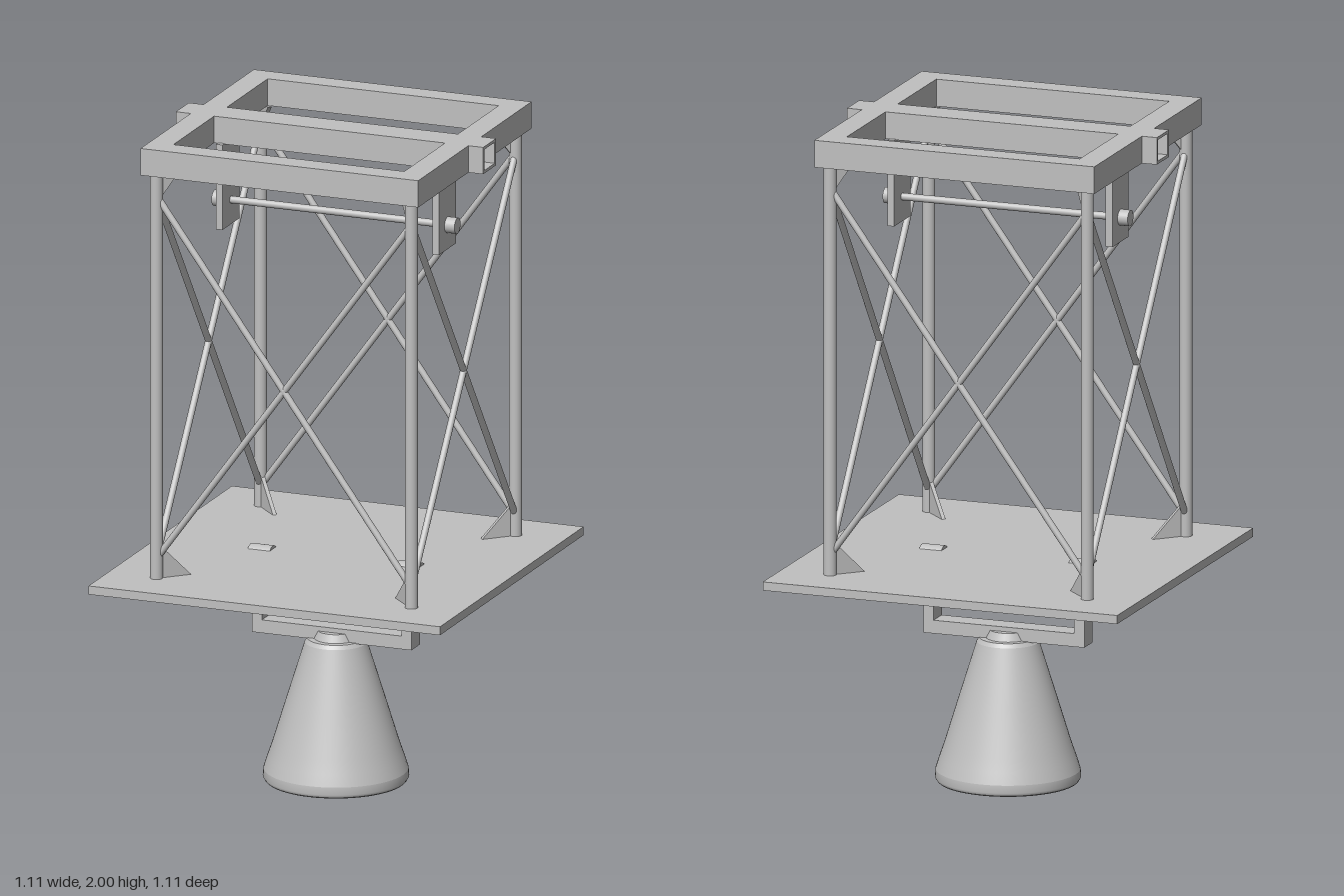
import * as THREE from 'three';

export function createModel() {
  const root = new THREE.Group();
  const steel = new THREE.MeshStandardMaterial({ color: 0xc0c0c0 });
  steel.name = 'steelGrey';

  const add = (name, geometry, x = 0, y = 0, z = 0) => {
    const mesh = new THREE.Mesh(geometry, steel);
    mesh.name = name;
    mesh.position.set(x, y, z);
    root.add(mesh);
    return mesh;
  };
  const box = (name, w, h, d, x, y, z) => add(name, new THREE.BoxGeometry(w, h, d), x, y, z);

  // round bar between two points
  const bar = (name, a, b, r, sides = 24) => {
    const from = new THREE.Vector3(...a), to = new THREE.Vector3(...b);
    const dir = to.clone().sub(from);
    const mesh = add(name, new THREE.CylinderGeometry(r, r, dir.length(), sides));
    mesh.position.copy(from).add(to).multiplyScalar(0.5);
    mesh.quaternion.setFromUnitVectors(new THREE.Vector3(0, 1, 0), dir.normalize());
    return mesh;
  };

  // square ring extruded along z
  const squareRing = (outer, inner, depth) => {
    const square = (s, Type) => {
      const p = new Type();
      p.moveTo(-s, -s);
      p.lineTo(s, -s);
      p.lineTo(s, s);
      p.lineTo(-s, s);
      p.closePath();
      return p;
    };
    const shape = square(outer, THREE.Shape);
    shape.holes.push(square(inner, THREE.Path));
    return new THREE.ExtrudeGeometry(shape, { depth, bevelEnabled: false }).translate(0, 0, -depth / 2);
  };

  const plateTop = 0.68, frameBottom = 1.918, postAt = 0.404;

  // base plate, top frame and hollow cross beam
  box('basePlate', 1.114, 0.026, 1.114, 0, 0.667, 0);
  add('topFrame', squareRing(0.44, 0.366, 0.082).rotateX(Math.PI / 2), 0, 1.959, 0);
  const beam = squareRing(0.05, 0.039, 0.974).rotateY(Math.PI / 2).scale(1, 0.82, 1);
  add('crossBeam', beam, 0, 1.959, 0);

  // corner posts with diagonal gussets at both ends
  const gusset = (width, height) => {
    const s = new THREE.Shape();
    s.moveTo(0, 0);
    s.lineTo(width, 0);
    s.lineTo(0, height);
    s.closePath();
    return new THREE.ExtrudeGeometry(s, { depth: 0.012, bevelEnabled: false }).translate(0, 0, -0.006);
  };
  for (const sx of [-1, 1]) {
    for (const sz of [-1, 1]) {
      const x = sx * postAt, z = sz * postAt;
      bar('post', [x, plateTop, z], [x, frameBottom, z], 0.019);
      const turn = Math.atan2(sz, -sx);
      add('lowerGusset', gusset(0.108, 0.11), x, plateTop, z).rotation.y = turn;
      const upper = gusset(0.07, 0.09).rotateX(Math.PI);
      add('upperGusset', upper, x, frameBottom, z).rotation.y = turn;
    }
  }

  // crossed braces on all four sides
  for (const s of [-1, 1]) {
    for (const d of [-1, 1]) {
      const e = 0.4 * d, p = postAt * s;
      bar('sideBrace', [p, 0.745, -e], [p, 1.845, e], 0.01, 16);
      bar('faceBrace', [-e, 0.745, p], [e, 1.845, p], 0.01, 16);
    }
  }

  // hanger plates, axle and end knobs
  bar('axle', [-0.36, 1.735, 0], [0.36, 1.735, 0], 0.011);
  for (const s of [-1, 1]) {
    box('hangerPlate', 0.021, 0.26, 0.134, s * 0.343, 1.79, 0);
    bar('axleKnob', [s * 0.35, 1.735, 0], [s * 0.385, 1.735, 0], 0.024);
  }

  // yoke with pivots through the base plate
  box('yokeBar', 0.506, 0.04, 0.068, 0, 0.45, 0);
  for (const s of [-1, 1]) {
    box('yokeArm', 0.032, 0.2, 0.068, s * 0.237, 0.55, 0);
    bar('yokePivot', [s * 0.2, 0.655, 0], [s * 0.27, 0.655, 0], 0.035, 32);
  }

  // hollow bell: outer wall, rim, inner wall
  add('bellCap', new THREE.CylinderGeometry(0.055, 0.066, 0.026, 32), 0, 0.443, 0);
  const lathe = (name, pts) =>
    add(name, new THREE.LatheGeometry(pts.map(p => new THREE.Vector2(...p)), 64));
  lathe('bellWall', [[0.213, 0.035], [0.202, 0.07], [0.188, 0.11], [0.145, 0.25], [0.092, 0.42]]);
  lathe('bellShoulder', [[0.092, 0.42], [0.084, 0.432]]);
  lathe('bellTop', [[0.084, 0.432], [0, 0.432]]);
  lathe('bellLip', [[0.21, 0.003], [0.215, 0.012], [0.213, 0.035]]);
  lathe('bellRim', [[0.168, 0], [0.207, 0], [0.21, 0.003]]);
  lathe('bellInside', [[0, 0.4], [0.06, 0.4], [0.12, 0.23], [0.155, 0.1], [0.168, 0]]);

  // clapper
  bar('clapperRod', [0, 0.05, 0], [0, 0.41, 0], 0.008, 12);
  add('clapperBall', new THREE.SphereGeometry(0.034, 24, 16), 0, 0.045, 0);

  return root;
}
